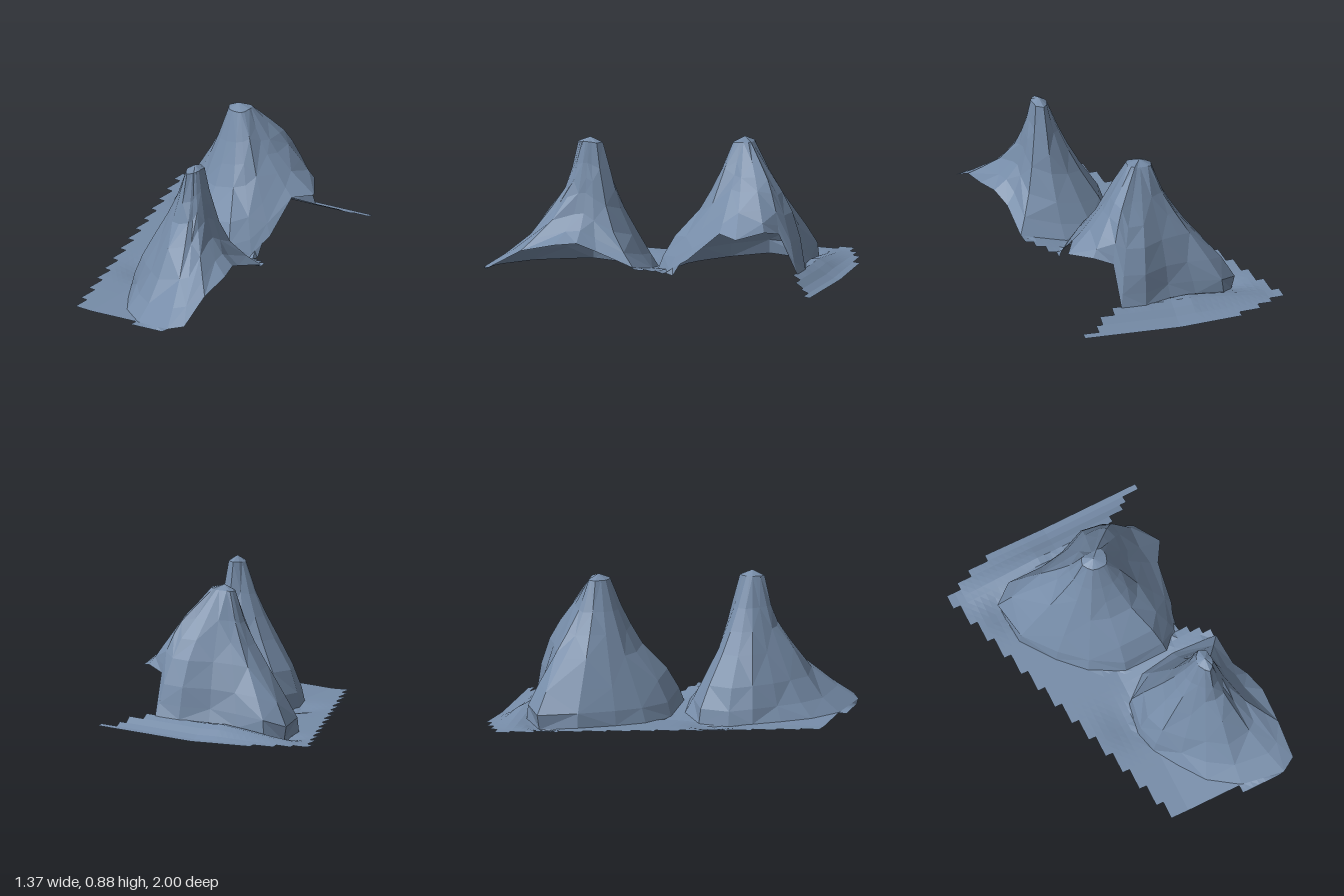
import * as THREE from 'three';

const rock = new THREE.MeshStandardMaterial({ color: 0x768ca8, flatShading: true, side: THREE.DoubleSide });
rock.name = 'slate blue rock';

// Height of the gently rising ground, with a saddle between the peaks,
// a bank behind the back peak and a shallow pit at the western foot of each peak
function groundY(x, z) {
  const e = Math.max(0, x), bank = THREE.MathUtils.clamp((x + 0.62) / 0.5, 0, 1);
  const pit = (px, pz, size) => Math.exp(-((x - px) ** 2 + (z - pz) ** 2) / size);
  return 0.028 + 0.08 * e + 0.14 * e * Math.exp(-((z - 0.04) ** 2) / 0.03)
    + 0.085 * bank * Math.exp(-(((z + 0.81) / 0.1) ** 2))
    - 0.027 * pit(-0.08, 0.3, 0.018) - 0.022 * pit(-0.43, -0.63, 0.01);
}

// Each ray: angle in degrees (0 = +x, 90 = +z), foot height (null = on the ground),
// then the radius at each level from shoulder to foot
const LEVELS = [0.96, 0.75, 0.6, 0.45, 0.25, 0.1, 0];
const backPeak = {
  name: 'backPeak', apex: [0.05, 0.87, -0.43], rays: [
    [4, 0.38, 0.08, 0.13, 0.17, 0.22, 0.30, 0.36, 0.41],
    [30, 0.20, 0.08, 0.16, 0.21, 0.26, 0.35, 0.42, 0.46],
    [45, 0.12, 0.08, 0.15, 0.21, 0.27, 0.39, 0.46, 0.50],
    [60, null, 0.07, 0.14, 0.20, 0.27, 0.42, 0.49, 0.52],
    [90, null, 0.06, 0.12, 0.17, 0.23, 0.36, 0.42, 0.44],
    [120, null, 0.06, 0.12, 0.17, 0.22, 0.30, 0.36, 0.39],
    [150, null, 0.06, 0.12, 0.17, 0.23, 0.31, 0.37, 0.39],
    [180, null, 0.07, 0.13, 0.20, 0.28, 0.39, 0.47, 0.48],
    [205, null, 0.07, 0.14, 0.21, 0.32, 0.48, 0.56, 0.54],
    [219, null, 0.07, 0.14, 0.22, 0.31, 0.43, 0.51, 0.52],
    [235, null, 0.06, 0.13, 0.20, 0.27, 0.34, 0.38, 0.40],
    [260, null, 0.05, 0.14, 0.20, 0.26, 0.31, 0.33, 0.36],
    [285, null, 0.05, 0.17, 0.26, 0.33, 0.385, 0.405, 0.42],
    [303, 0.13, 0.06, 0.20, 0.30, 0.36, 0.42, 0.45, 0.48],
    [313, 0.37, 0.07, 0.19, 0.27, 0.32, 0.37, 0.39, 0.40],
    [328, 0.40, 0.08, 0.17, 0.24, 0.29, 0.36, 0.41, 0.445],
    [349, 0.37, 0.08, 0.15, 0.20, 0.25, 0.34, 0.43, 0.49],
  ].flat(),
};
const frontPeak = {
  name: 'frontPeak', apex: [0.365, 0.88, 0.42], rays: [
    [0, 0.30, 0.04, 0.06, 0.08, 0.095, 0.13, 0.20, 0.275],
    [22, 0.29, 0.045, 0.07, 0.09, 0.11, 0.15, 0.23, 0.34],
    [46, 0.24, 0.05, 0.08, 0.11, 0.15, 0.25, 0.37, 0.457],
    [59, 0.12, 0.05, 0.09, 0.13, 0.20, 0.34, 0.50, 0.617],
    [68, 0.10, 0.06, 0.10, 0.15, 0.23, 0.35, 0.50, 0.626],
    [92, null, 0.075, 0.115, 0.15, 0.25, 0.34, 0.43, 0.53],
    [115, null, 0.06, 0.11, 0.15, 0.21, 0.29, 0.37, 0.45],
    [140, null, 0.05, 0.10, 0.15, 0.20, 0.29, 0.34, 0.39],
    [165, null, 0.05, 0.11, 0.17, 0.24, 0.33, 0.38, 0.40],
    [185, null, 0.05, 0.12, 0.18, 0.25, 0.36, 0.405, 0.42],
    [210, null, 0.05, 0.12, 0.18, 0.25, 0.36, 0.43, 0.445],
    [235, null, 0.06, 0.11, 0.16, 0.21, 0.30, 0.37, 0.42],
    [265, null, 0.075, 0.12, 0.15, 0.18, 0.25, 0.31, 0.37],
    [305, 0.17, 0.06, 0.09, 0.12, 0.15, 0.22, 0.32, 0.41],
    [335, 0.25, 0.04, 0.06, 0.09, 0.11, 0.15, 0.20, 0.26],
  ].flat(),
};

function makeMesh(name, pos, idx) {
  const g = new THREE.BufferGeometry();
  g.setAttribute('position', new THREE.Float32BufferAttribute(pos, 3));
  g.setIndex(idx);
  g.computeVertexNormals();
  const m = new THREE.Mesh(g, rock);
  m.name = name;
  return m;
}

// Loft a hollow peak down its rays; also returns the foot outline
function makePeak({ name, apex, rays }) {
  const [ax, ay, az] = apex, pos = [...apex], idx = [], outline = [];
  const n = LEVELS.length, count = rays.length / (n + 2);
  for (let i = 0; i < count; i++) {
    const [deg, foot, ...radii] = rays.slice(i * (n + 2), (i + 1) * (n + 2));
    const c = Math.cos(deg * Math.PI / 180), s = Math.sin(deg * Math.PI / 180);
    const fx = ax + c * radii[n - 1], fz = az + s * radii[n - 1];
    const fy = foot ?? groundY(fx, fz);
    outline.push(new THREE.Vector3(fx, fy, fz));
    radii.forEach((r, k) => pos.push(ax + c * r, fy + LEVELS[k] * (ay - fy), az + s * r));
  }
  for (let i = 0; i < count; i++) {
    const a = 1 + i * n, b = 1 + ((i + 1) % count) * n;
    idx.push(0, b, a);
    for (let k = 0; k < n - 1; k++) {
      // alternate the diagonal for an irregular faceted look
      if ((i + k) % 2) idx.push(a + k, b + k, a + k + 1, b + k, b + k + 1, a + k + 1);
      else idx.push(a + k, b + k, b + k + 1, a + k, b + k + 1, a + k + 1);
    }
  }
  return { mesh: makeMesh(name, pos, idx), outline };
}

function inside(x, z, poly) {
  let hit = false;
  poly.forEach((p, i) => {
    const q = poly[(i + 1) % poly.length];
    if ((p.z > z) !== (q.z > z) && x < p.x + (z - p.z) / (q.z - p.z) * (q.x - p.x)) hit = !hit;
  });
  return hit;
}

// Nearest point on a foot outline, seen from above
function snap(x, z, poly) {
  let best, dist = Infinity;
  poly.forEach((p, i) => {
    const q = poly[(i + 1) % poly.length], dx = q.x - p.x, dz = q.z - p.z;
    const t = THREE.MathUtils.clamp(((x - p.x) * dx + (z - p.z) * dz) / (dx * dx + dz * dz), 0, 1);
    const c = p.clone().lerp(q, t), d = Math.hypot(c.x - x, c.z - z);
    if (d < dist) [best, dist] = [c, d];
  });
  return best;
}

// Stepped borders of the ground: [up to z, x]
const stepAt = (table, z) => table.find(([zMax]) => z < zMax)[1];
const LEFT_BACK = [[-0.96, -0.38], [-0.915, -0.51], [-0.87, -0.6], [-0.78, -0.69]];
const RIGHT = [[-0.96, 0.6], [-0.915, 0.5], [-0.87, 0.46], [-0.825, 0.37], [-0.69, 0.31], [-0.24, 0.38],
  [-0.06, 0.43], [-0.01, 0.48], [0.03, 0.54], [0.12, 0.59], [0.6, 0.5], [2, 0.6]];
function leftEdge(z) {
  if (z > 0.95) return 0.33;
  if (z < -0.78) return stepAt(LEFT_BACK, z);
  return -0.645 + 0.0445 * Math.floor((z + 0.78) / 0.135);
}

function makeGround(outlines) {
  const pos = [], idx = [], zs = [-1];
  for (let j = -4; j <= 38; j++) zs.push(-0.78 + 0.045 * j);
  zs.push(0.95, 1);
  for (let j = 0; j < zs.length - 1; j++) {
    const z0 = zs[j], z1 = zs[j + 1];
    if (z1 <= z0) continue;
    const mid = (z0 + z1) / 2, l = leftEdge(mid), r = stepAt(RIGHT, mid);
    for (let gx = -0.72; gx < 0.7; gx += 0.04) {
      const x0 = Math.max(gx, l), x1 = Math.min(gx + 0.04, r);
      if (x1 - x0 < 0.001) continue;
      const quad = [[x0, z0], [x0, z1], [x1, z1], [x1, z0]];
      // leave the hollows under the peaks open
      if (outlines.some((o) => quad.every(([x, z]) => inside(x, z, o)))) continue;
      const b = pos.length / 3;
      for (const [x, z] of quad) {
        // corners under a peak are drawn out to its foot
        const over = outlines.find((o) => inside(x, z, o));
        pos.push(...(over ? snap(x, z, over).toArray() : [x, groundY(x, z), z]));
      }
      idx.push(b, b + 1, b + 2, b, b + 2, b + 3);
    }
  }
  return makeMesh('ground', pos, idx);
}

export function createModel() {
  const model = new THREE.Group();
  model.name = 'mountainTerrain';
  const peaks = [backPeak, frontPeak].map(makePeak);
  peaks.forEach((p) => model.add(p.mesh));
  model.add(makeGround(peaks.map((p) => p.outline)));
  return model;
}
